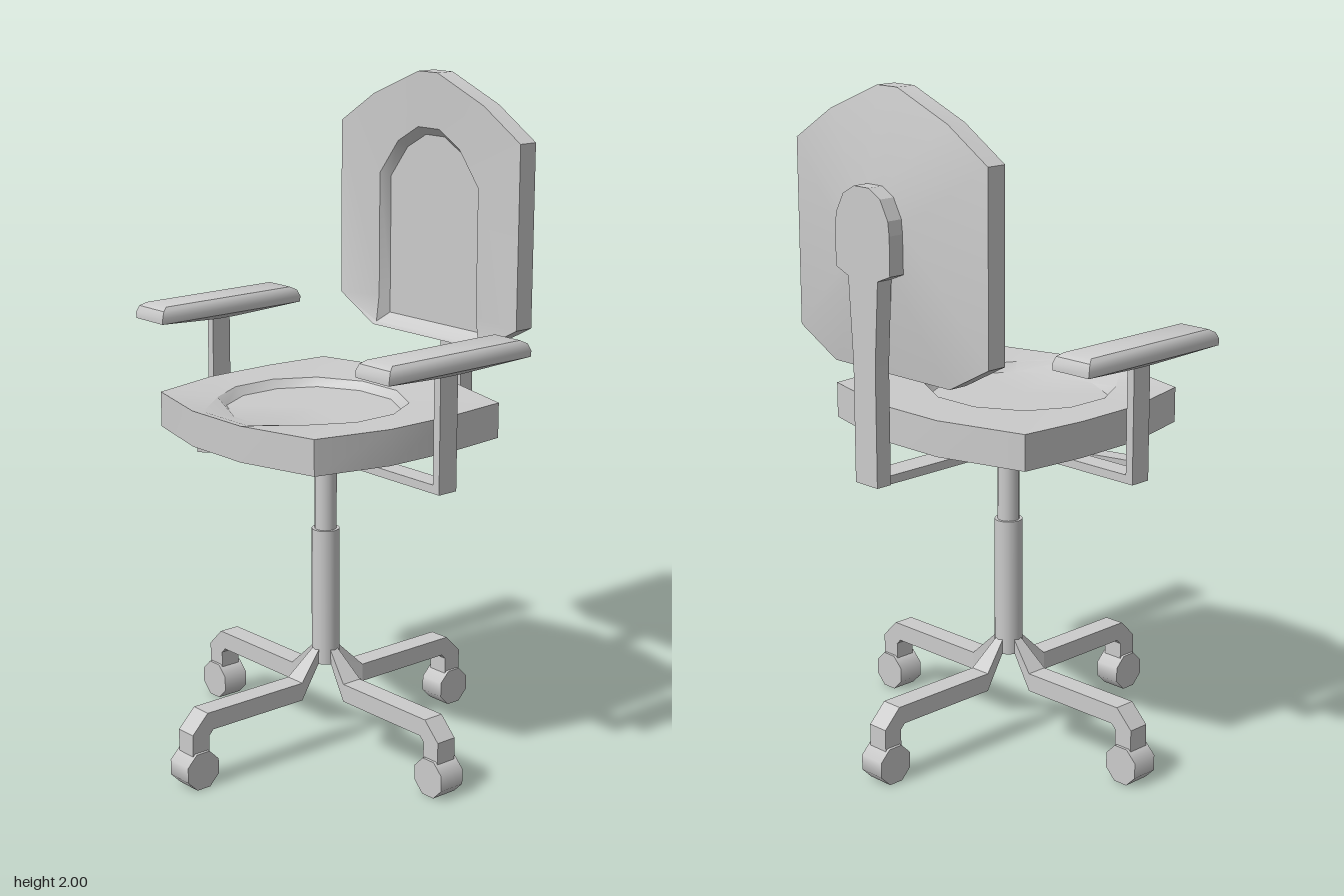
import * as THREE from 'three';
import { toCreasedNormals } from 'three/addons/utils/BufferGeometryUtils.js';

const material = new THREE.MeshStandardMaterial({ color: 0xcccccc });

function add(parent, name, geometry, x = 0, y = 0, z = 0) {
  const mesh = new THREE.Mesh(geometry, material);
  mesh.name = name;
  mesh.position.set(x, y, z);
  parent.add(mesh);
  return mesh;
}

const box = (parent, name, size, pos) => add(parent, name, new THREE.BoxGeometry(...size), ...pos);

// Completes a half outline (x > 0) with its mirror image
const mirror = (half) => [...half, ...half.map(([x, v]) => [-x, v]).reverse()];

// Skins a stack of equal-count rings and closes both ends
function loft(rings, crease = 0.6) {
  const pos = [];
  const tri = (a, b, c) => pos.push(...a, ...b, ...c);
  const n = rings[0].length;
  const centre = (ring) => [0, 1, 2].map((k) => ring.reduce((s, p) => s + p[k], 0) / n);
  const first = rings[0], last = rings[rings.length - 1];
  const c0 = centre(first), c1 = centre(last);
  for (let i = 0; i < n; i++) {
    const j = (i + 1) % n;
    for (let r = 0; r < rings.length - 1; r++) {
      const a = rings[r], b = rings[r + 1];
      tri(a[i], a[j], b[j]);
      tri(a[i], b[j], b[i]);
    }
    tri(c0, first[j], first[i]);
    tri(c1, last[i], last[j]);
  }
  const g = new THREE.BufferGeometry();
  g.setAttribute('position', new THREE.Float32BufferAttribute(pos, 3));
  return toCreasedNormals(g, crease);
}

// Ring of an outline lying flat at height y, or upright at depth z
const flat = (half, y) => mirror(half).map(([x, z]) => [x, y, z]);
const upright = (half, z) => mirror(half).map(([x, y]) => [x, y, z]);

function extrude(points, depth) {
  const shape = new THREE.Shape(points.map((p) => new THREE.Vector2(...p)));
  const g = new THREE.ExtrudeGeometry(shape, { depth, bevelEnabled: false });
  return g.translate(0, 0, -depth / 2);
}

function makeLeg() {
  const leg = new THREE.Group();
  leg.name = 'baseLeg';
  const g = extrude([
    [0.02, 0.26], [0.04, 0.26], [0.12, 0.17], [0.455, 0.17], [0.47, 0.155], [0.47, 0.08],
    [0.53, 0.08], [0.53, 0.17], [0.475, 0.225], [0.12, 0.225], [0.035, 0.31], [0.02, 0.31],
  ], 0.066);
  // Narrow the arm where it meets the column
  const p = g.attributes.position;
  for (let i = 0; i < p.count; i++) if (p.getX(i) < 0.1) p.setZ(i, p.getZ(i) * 0.4);
  g.computeVertexNormals();
  add(leg, 'legArm', g);
  const wheel = new THREE.CylinderGeometry(0.06, 0.06, 0.084, 8).rotateY(Math.PI / 8).rotateX(Math.PI / 2);
  add(leg, 'caster', wheel, 0.5, 0.056, 0);
  return leg;
}

function makeArm(side) {
  const arm = new THREE.Group();
  arm.name = side > 0 ? 'leftArm' : 'rightArm';
  box(arm, 'armBar', [0.5, 0.025, 0.066], [side * 0.27, 0.9175, 0]);
  box(arm, 'armPost', [0.025, 0.345, 0.066], [side * 0.5075, 1.0775, 0]);
  const ring = (x, z, y) => flat([[x, -z], [x, z]], y);
  const pad = loft([
    ring(0.05, 0.24, 1.31), ring(0.062, 0.258, 1.3), ring(0.068, 0.267, 1.28),
    ring(0.066, 0.267, 1.262), ring(0.03, 0.035, 1.242),
  ]);
  add(arm, 'armPad', pad, side * 0.502);
  return arm;
}

export function createModel() {
  const chair = new THREE.Group();
  chair.name = 'officeChair';

  // Four-legged base and gas column
  for (let i = 0; i < 4; i++) {
    const leg = makeLeg();
    leg.rotation.y = i * Math.PI / 2;
    chair.add(leg);
  }
  add(chair, 'lowerColumn', new THREE.CylinderGeometry(0.042, 0.042, 0.42, 16), 0, 0.47, 0);
  add(chair, 'upperColumn', new THREE.CylinderGeometry(0.033, 0.033, 0.32, 16), 0, 0.825, 0);

  // Dished seat whose hollow runs out to the front edge
  const seatEdge = [[0.12, -0.4], [0.39, -0.325], [0.41, -0.12], [0.407, 0.11], [0.35, 0.34], [0.11, 0.405]];
  const seatDish = [[0.07, -0.195], [0.19, -0.13], [0.25, -0.02], [0.25, 0.11], [0.19, 0.22], [0.07, 0.285]];
  const seatLip = seatDish.map(([x, z], i) => (i < 5 ? [x * 1.09, z * 1.09] : [0.1, 0.375]));
  add(chair, 'seat', loft([
    flat(seatDish, 1.055), flat(seatLip, 1.08), flat(seatEdge, 1.085), flat(seatEdge, 0.98),
  ]));

  // Backrest with an arched hollow in front and a tapered rear shell
  const backEdge = [[0.04, 2], [0.235, 1.92], [0.385, 1.825], [0.385, 1.285], [0.235, 1.205]];
  const backDish = [[0.04, 1.81], [0.12, 1.765], [0.193, 1.67], [0.193, 1.3], [0.193, 1.245]];
  const backLip = [[0.045, 1.835], [0.132, 1.785], [0.213, 1.68], [0.213, 1.3], [0.225, 1.215]];
  const backHub = [[0.03, 1.735], [0.075, 1.71], [0.11, 1.64], [0.11, 1.53], [0.06, 1.5]];
  add(chair, 'backrest', loft([
    upright(backDish, -0.428), upright(backLip, -0.4), upright(backEdge, -0.395),
    upright(backEdge, -0.457), upright(backHub, -0.507),
  ]));

  // Back support: bar under the seat and a post with an arched head
  box(chair, 'backBar', [0.08, 0.025, 0.53], [0, 0.9175, -0.265]);
  const post = mirror([
    [0.03, 1.74], [0.075, 1.715], [0.105, 1.66], [0.11, 1.62], [0.11, 1.51],
    [0.06, 1.49], [0.045, 1.25], [0.045, 0.905],
  ]);
  add(chair, 'backPost', extrude(post, 0.05), 0, 0, -0.53);

  // Armrests
  for (const side of [1, -1]) chair.add(makeArm(side));

  // Height lever
  const lever = new THREE.Group();
  lever.name = 'heightLever';
  lever.position.y = 0.922;
  lever.rotation.set(0, Math.PI + 0.49, -0.085);
  box(lever, 'leverRod', [0.28, 0.012, 0.022], [0.14, 0, 0]);
  box(lever, 'leverPaddle', [0.14, 0.018, 0.056], [0.335, 0, 0]);
  chair.add(lever);

  return chair;
}
